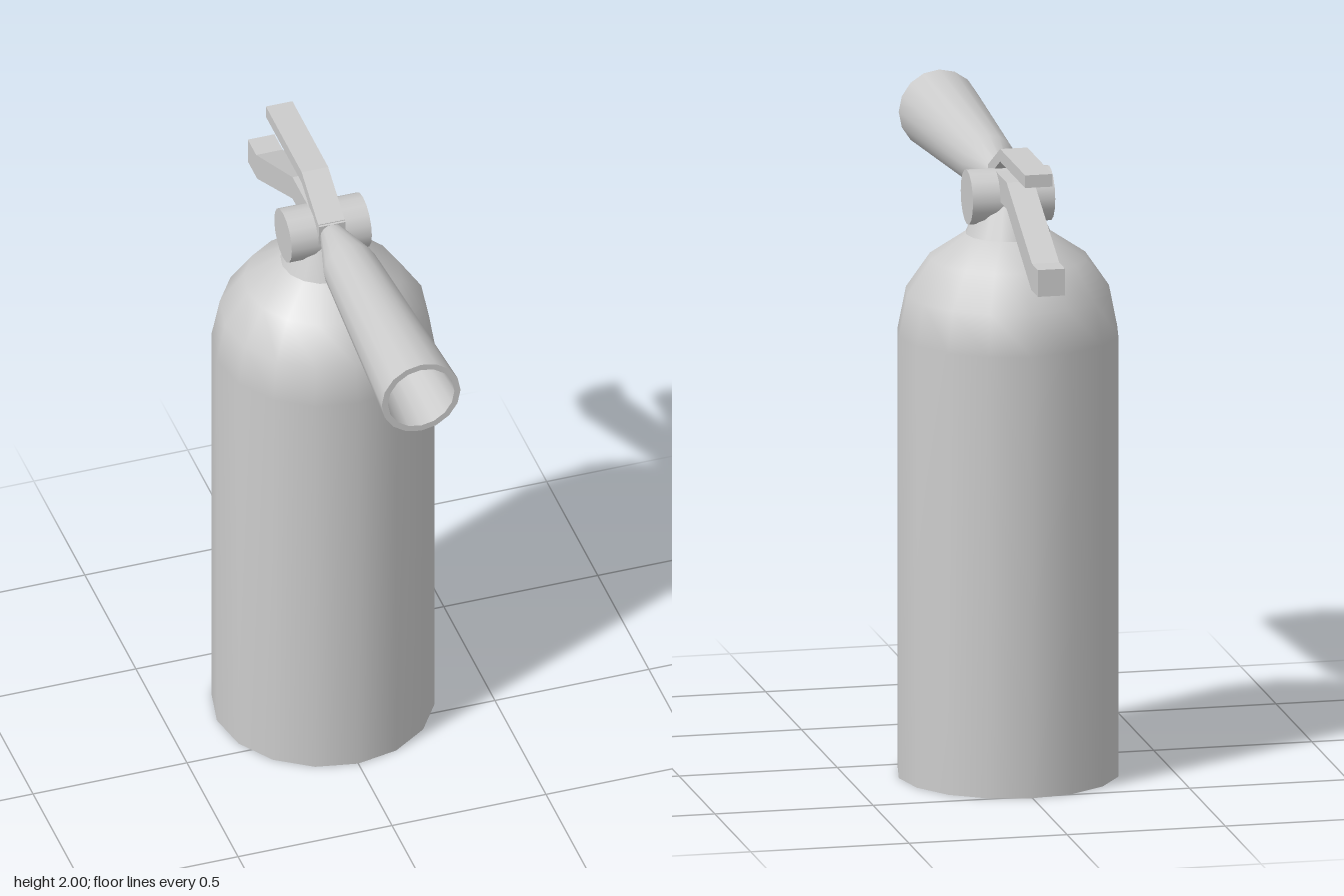
import * as THREE from 'three';
import { mergeGeometries } from 'three/addons/utils/BufferGeometryUtils.js';

const material = new THREE.MeshStandardMaterial({ color: 0xcccccc });
const AXIS_Z = -0.175; // tank axis
const SIDES = 16;

// Lathe made of smooth strips; edges between strips stay sharp
function turned(strips) {
  return mergeGeometries(strips.map((points) =>
    new THREE.LatheGeometry(points.map(([r, y]) => new THREE.Vector2(r, y)), SIDES)));
}

// Side outline given as [z, y], extruded across x
function bar(outline, width) {
  const shape = new THREE.Shape(outline.map(([z, y]) => new THREE.Vector2(-z, y)));
  return new THREE.ExtrudeGeometry(shape, { depth: width, bevelEnabled: false })
    .translate(0, 0, -width / 2)
    .rotateY(Math.PI / 2);
}

export function createModel() {
  const model = new THREE.Group();
  model.name = 'fireExtinguisher';
  const add = (name, geometry) => {
    const mesh = new THREE.Mesh(geometry, material);
    mesh.name = name;
    model.add(mesh);
    return mesh;
  };

  // Tank with rounded shoulder
  add('tank', turned([
    [[0, 0], [0.345, 0]],
    [[0.345, 0], [0.345, 1.4], [0.319, 1.53], [0.244, 1.64], [0.132, 1.715]],
  ])).position.z = AXIS_Z;

  // Tapered neck
  add('neck', turned([
    [[0.132, 1.715], [0.08, 1.84]],
    [[0.08, 1.84], [0, 1.84]],
  ])).position.z = AXIS_Z;

  // Cross-wise valve barrel
  const valve = new THREE.CylinderGeometry(0.086, 0.086, 0.26, SIDES).rotateZ(Math.PI / 2);
  add('valve', valve).position.set(0, 1.833, AXIS_Z);

  // Hollow discharge horn, turned along z
  const horn = turned([
    [[0, -0.095], [0.036, -0.095]],
    [[0.036, -0.095], [0.086, 0.09], [0.128, 0.785]],
    [[0.128, 0.785], [0.108, 0.785]],
    [[0.108, 0.785], [0.064, 0.09]],
    [[0.064, 0.09], [0, 0.09]],
  ]).rotateX(Math.PI / 2);
  add('horn', horn).position.y = 1.872;

  // Squeeze lever above, carrying handle below
  add('lever', bar([
    [-0.085, 1.91], [-0.085, 1.87], [-0.255, 1.96],
    [-0.605, 1.96], [-0.605, 2], [-0.255, 2],
  ], 0.086));
  add('handle', bar([
    [-0.09, 1.915], [-0.09, 1.832], [-0.345, 1.832], [-0.69, 1.657],
    [-0.782, 1.657], [-0.782, 1.742], [-0.7, 1.742], [-0.345, 1.915],
  ], 0.086));

  return model;
}
